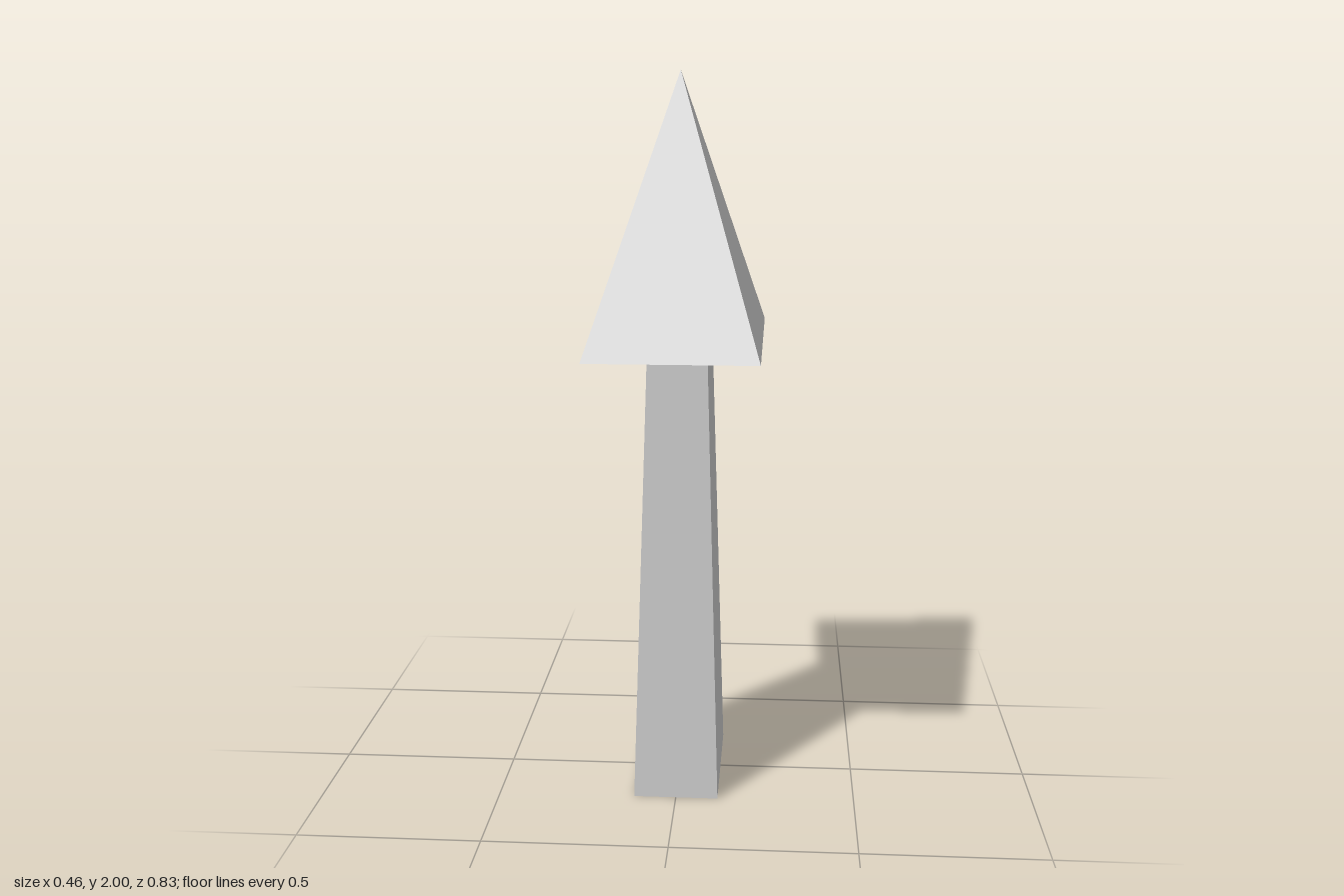
import * as THREE from 'three';

const DEPTH_TO_WIDTH = 0.55; // every cross-section is a rectangle of this ratio

// Four-sided solid swept from [half depth, height] points, bottom to top
function fourSided(name, profile, material) {
  const points = profile.map(([r, y]) => new THREE.Vector2(r * Math.SQRT2, y));
  const lathe = new THREE.LatheGeometry(points, 4, Math.PI / 4);
  lathe.scale(DEPTH_TO_WIDTH, 1, 1);
  const geometry = lathe.toNonIndexed();
  geometry.computeVertexNormals();
  const mesh = new THREE.Mesh(geometry, material);
  mesh.name = name;
  return mesh;
}

export function createModel() {
  const group = new THREE.Group();
  group.name = 'arrow';
  const material = new THREE.MeshStandardMaterial({ color: 0xcccccc, flatShading: true });

  // Tapered shaft, closed at the foot and open where it meets the head
  group.add(fourSided('shaft', [[0, 0], [0.214, 0], [0.149, 1.245]], material));

  // Pyramid head with a shallow sloping underside
  group.add(fourSided('head', [[0.149, 1.245], [0.414, 1.275], [0, 2]], material));

  return group;
}
